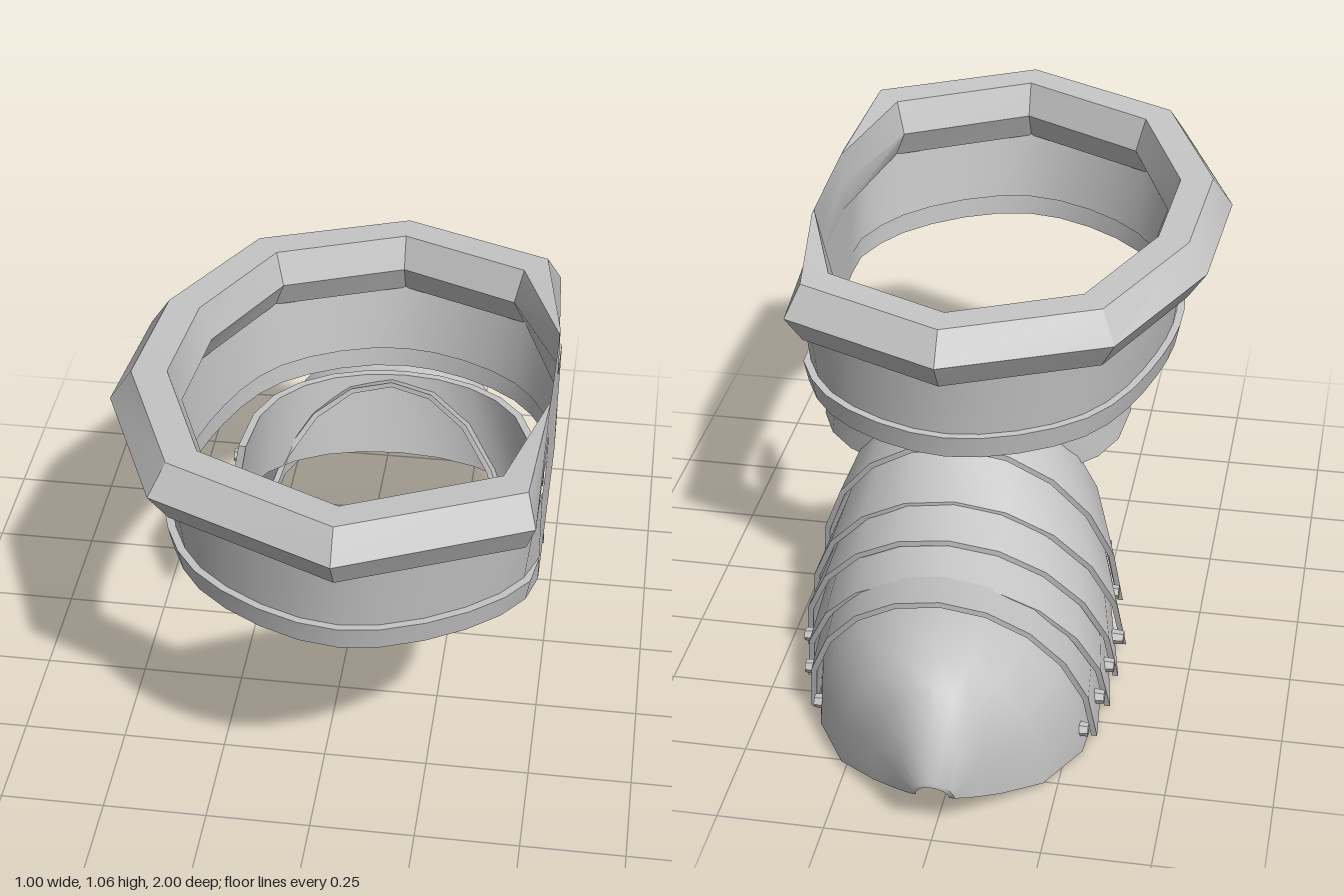
import * as THREE from 'three';
import { toCreasedNormals } from 'three/addons/utils/BufferGeometryUtils.js';

const steel = new THREE.MeshStandardMaterial({ color: 0xc6c6c6 });
steel.name = 'steel';

// Skin a row of closed cross-section loops; the row either wraps round or is capped.
function skin(rows, wrap, crease) {
  const tris = [];
  const n = rows[0].length;
  const add = (a, b, c) => {
    const area = b.clone().sub(a).cross(c.clone().sub(a)).length();
    if (area > 1e-7) tris.push([a, b, c]);
  };
  const last = wrap ? rows.length : rows.length - 1;
  for (let i = 0; i < last; i++) {
    const p = rows[i], q = rows[(i + 1) % rows.length];
    for (let j = 0; j < n; j++) {
      const k = (j + 1) % n;
      add(p[j], q[j], q[k]);
      add(p[j], q[k], p[k]);
    }
  }
  if (!wrap) {
    // The loop is a folded strip, so each cap is a run of quads between its two sides.
    const end = rows[rows.length - 1], start = rows[0];
    for (let j = 0; j < n / 2 - 1; j++) {
      const o = n - 1 - j;
      add(start[j], start[j + 1], start[o - 1]);
      add(start[j], start[o - 1], start[o]);
      add(end[j], end[o - 1], end[j + 1]);
      add(end[j], end[o], end[o - 1]);
    }
  }
  // Turn everything outward.
  let volume = 0;
  for (const [a, b, c] of tris) volume += a.dot(b.clone().cross(c));
  const pos = [];
  for (const [a, b, c] of tris) {
    for (const v of volume > 0 ? [a, b, c] : [a, c, b]) pos.push(v.x, v.y, v.z);
  }
  const geo = new THREE.BufferGeometry();
  geo.setAttribute('position', new THREE.Float32BufferAttribute(pos, 3));
  return toCreasedNormals(geo, crease);
}

// Ten-sided rim outline (x, z), mirrored about x = 0.09, and a rounded one for the wall
const half = [[-0.335, 0.8], [-0.5, 0.415], [-0.475, 0.06], [-0.3, -0.3]];
const rimOutline = [[0.09, 1], ...half, [0.09, -0.46], ...half.map(([x, z]) => [0.18 - x, z]).reverse()];
const wallOutline = new THREE.CatmullRomCurve3(
  rimOutline.map(([x, z]) => new THREE.Vector3(x, 0, z)), true, 'centripetal',
).getPoints(40).slice(0, 40).map((p) => [p.x, p.z]);

// Collar band from a profile of [inset, height]; it tilts and is flattened at x = 0.5
function collarBand(outline, profile, crease) {
  const rows = outline.map(([x, z]) => profile.map(([inset, y]) => {
    const px = 0.09 + (x - 0.09) * (0.59 - inset) / 0.59;
    const pz = 0.27 + (z - 0.27) * (0.73 - inset) / 0.73;
    return new THREE.Vector3(Math.min(px, 0.5), y + 0.056 * (pz - 0.27), pz);
  }));
  return skin(rows, true, crease);
}

// Arched shell through sections [topZ, topY, bottomZ, bottomY, centreX, halfWidth]
function archedShell(sections, thickness) {
  const inner = sections.map(([tz, ty, bz, by, cx, w]) =>
    [tz, ty - thickness, bz, by, cx, w - thickness]).reverse();
  const loop = [...sections, ...inner];
  const rows = [];
  const steps = 10;
  for (let i = 0; i <= steps; i++) {
    const a = Math.PI * i / steps;
    const s = Math.pow(Math.max(Math.sin(a), 0), 0.95);
    rows.push(loop.map(([tz, ty, bz, by, cx, w]) => new THREE.Vector3(
      cx + w * Math.cos(a), by + (ty - by) * s, bz + (tz - bz) * s)));
  }
  return skin(rows, false, 0.8);
}

export function createModel() {
  const group = new THREE.Group();
  const add = (name, geo) => {
    const mesh = new THREE.Mesh(geo, steel);
    mesh.name = name;
    group.add(mesh);
    return mesh;
  };

  // Collar: bevelled rim, tapered wall and lower lip
  add('collarRim', collarBand(rimOutline, [[0.05, 1.028], [0, 0.955], [0.05, 0.88],
    [0.12, 0.87], [0.16, 0.945], [0.13, 1.026]], 0.6));
  add('collarWall', collarBand(wallOutline, [[0.102, 0.89], [0.127, 0.7], [0.145, 0.7], [0.12, 0.89]], 0.7));
  add('collarLip', collarBand(wallOutline, [[0.108, 0.705], [0.12, 0.646], [0.143, 0.646], [0.14, 0.705]], 0.7));

  // Horseshoe band hanging below the collar: [halfWidth, depth, y]
  const bandLoop = [[0.355, 0.4, 0.69], [0.39, 0.365, 0.473], [0.372, 0.347, 0.473], [0.337, 0.382, 0.69]];
  const bandRows = [];
  for (let i = 0; i <= 12; i++) {
    const a = Math.PI * i / 12;
    const s = Math.pow(Math.max(Math.sin(a), 0), 0.74);
    bandRows.push(bandLoop.map(([w, d, y]) => new THREE.Vector3(
      0.105 + w * Math.cos(a), y - 0.02 * s, 0.19 - d * s)));
  }
  add('hangingBand', skin(bandRows, false, 0.8));

  // Overlapping lames: each front edge tucks well inside the one before
  const backEdges = [
    [-0.28, 0.61, -0.12, 0.1, 0.07, 0.385],
    [-0.375, 0.51, -0.21, 0.03, 0.063, 0.4],
    [-0.475, 0.465, -0.325, 0.015, 0.06, 0.393],
    [-0.585, 0.425, -0.45, 0.015, 0.045, 0.375],
    [-0.7, 0.445, -0.565, 0.01, 0.035, 0.35],
  ];
  let front = [-0.14, 0.68, 0.056, 0.2, 0.08, 0.325];
  backEdges.forEach((back, i) => {
    add('lame' + (i + 1), archedShell([front, back], 0.014));
    front = back.map((v, k) => THREE.MathUtils.lerp(front[k], v, 0.5));
    front[1] -= 0.03;
    front[5] -= 0.016;
  });

  // Pointed end cap, open underneath with a small round notch at the tip
  add('endCap', archedShell([
    [-0.58, 0.395, -0.5, 0.005, 0.04, 0.337],
    [-0.7, 0.405, -0.62, 0.003, 0.03, 0.318],
    [-0.82, 0.38, -0.77, 0.015, 0.022, 0.24],
    [-0.9, 0.35, -0.86, 0.045, 0.014, 0.15],
    [-0.95, 0.265, -0.925, 0.08, 0.005, 0.095],
    [-1.0, 0.165, -0.975, 0.11, 0, 0.05],
  ], 0.012));

  // Rivets on both sides: [z, y, centreX, halfWidth]
  const rivets = [
    [0.125, 0.615, 0.105, 0.362], [-0.07, 0.225, 0.08, 0.34], [-0.165, 0.155, 0.07, 0.365],
    [-0.265, 0.09, 0.06, 0.382], [-0.385, 0.09, 0.055, 0.37], [-0.495, 0.075, 0.045, 0.352],
    [-0.615, 0.065, 0.03, 0.316],
  ];
  for (const [z, y, cx, w] of rivets) {
    for (const side of [-1, 1]) {
      const rivet = add('rivet', toCreasedNormals(new THREE.CylinderGeometry(0.016, 0.019, 0.03, 6), 0.5));
      rivet.rotation.z = -side * Math.PI / 2;
      rivet.position.set(cx + side * w, y, z);
    }
  }
  return group;
}
